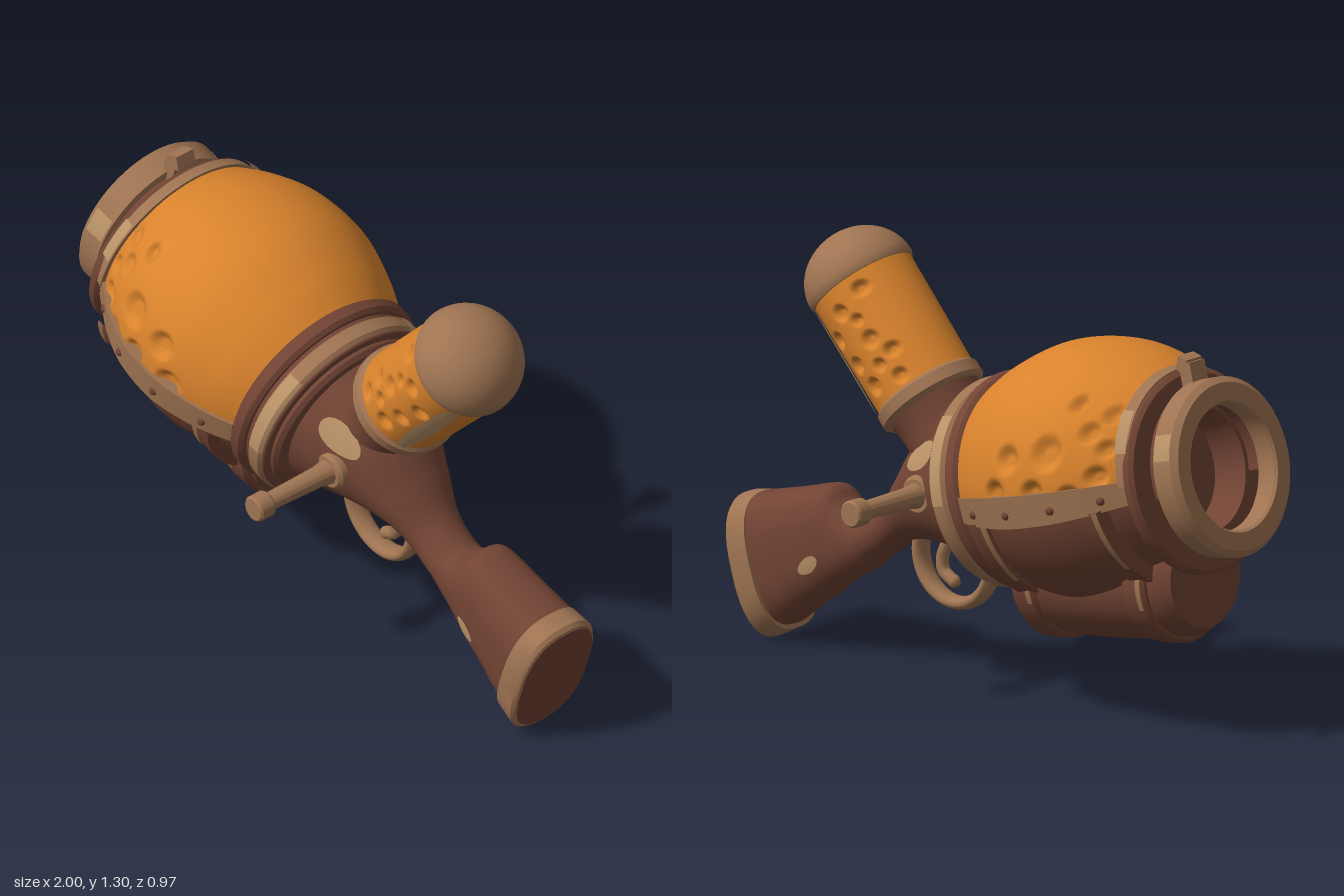
import * as THREE from 'three';
import { mergeVertices, toCreasedNormals } from 'three/addons/utils/BufferGeometryUtils.js';

const V3 = THREE.Vector3, PI = Math.PI;
const mat = (name, color, side = THREE.FrontSide) => {
  const m = new THREE.MeshStandardMaterial({ color, side });
  m.name = name;
  return m;
};

export function createModel() {
  const root = new THREE.Group();
  root.name = 'barrelGun';
  const brown = mat('brown wood', 0x724434);
  const tan = mat('tan metal', 0x9f7452);
  const light = mat('worn light tan', 0xb99267, THREE.DoubleSide);
  const amber = mat('amber', 0xd8822c);

  const add = (parent, name, geo, m) => {
    const mesh = new THREE.Mesh(geo, m);
    mesh.name = name;
    parent.add(mesh);
    return mesh;
  };
  const frame = (name, x, y, tilt, parent = root) => {
    const g = new THREE.Group();
    g.name = name;
    g.position.set(x, y, 0);
    g.rotation.z = tilt;
    parent.add(g);
    g.updateMatrixWorld();
    return g;
  };
  // Profiles are [radius, height] pairs running upwards on the outside
  const lathe = (pts, seg = 64, from = 0, len = 2 * PI) => toCreasedNormals(
    new THREE.LatheGeometry(pts.map(p => new THREE.Vector2(...p)), seg, from, len), 0.6);
  const ring = (r0, r1, y0, y1, b = 0.012) => lathe([[r0, y0], [r1 - b, y0], [r1, y0 + b],
    [r1, y1 - b], [r1 - b, y1], [r0, y1], [r0, y0]]);
  const smooth = (pts, n) => new THREE.SplineCurve(pts.map(p => new THREE.Vector2(...p)))
    .getPoints(n).map(p => [p.x, p.y]);

  // Skin a list of closed loops
  const loft = (loops, caps = true, crease = 0.7) => {
    const pos = [], n = loops[0].length, last = loops.length - 1;
    const tri = (...c) => c.forEach(p => pos.push(p.x, p.y, p.z));
    const mid = l => l.reduce((s, p) => s.add(p), new V3()).divideScalar(n);
    const c0 = mid(loops[0]), c1 = mid(loops[last]);
    for (let j = 0; j < n; j++) {
      const k = (j + 1) % n;
      for (let i = 0; i < last; i++) {
        const a = loops[i], b = loops[i + 1];
        tri(a[j], a[k], b[j]);
        tri(a[k], b[k], b[j]);
      }
      if (caps) {
        tri(c0, loops[0][k], loops[0][j]);
        tri(c1, loops[last][j], loops[last][k]);
      }
    }
    const g = new THREE.BufferGeometry();
    g.setAttribute('position', new THREE.Float32BufferAttribute(pos, 3));
    return toCreasedNormals(g, crease);
  };

  // Amber skin with bubbles pressed in, given as front-plane [x, y, radius]
  const bubbled = (group, profile, seg, len, bubbles, depth) => {
    let g = new THREE.LatheGeometry(profile.map(p => new THREE.Vector2(...p)), seg, 0, len);
    const p = g.attributes.position;
    const local = bubbles.map(([x, y, r]) => [group.worldToLocal(new V3(x, y, 0)), r]);
    for (let i = 0; i < p.count; i++) {
      let f = 0;
      for (const [c, r] of local) {
        const d = Math.hypot(p.getX(i) - c.x, p.getY(i) - c.y) / r;
        f = Math.max(f, Math.min(1, 2 * (1 - d)));
      }
      p.setX(i, p.getX(i) * (1 - depth * f));
      p.setZ(i, p.getZ(i) * (1 - depth * f));
    }
    g.deleteAttribute('uv');
    g.deleteAttribute('normal');
    g = mergeVertices(g);
    g.computeVertexNormals();
    return g;
  };

  // Main barrel: local y points to the muzzle, local x up
  const barrel = frame('barrel', -0.42, 0.73, 76 * PI / 180);
  barrel.scale.z = 1.02;
  const skin = smooth([[0.307, -0.3], [0.358, -0.19], [0.398, -0.03], [0.387, 0.137], [0.337, 0.269], [0.27, 0.375]], 80);
  const radiusAt = y => skin.reduce((a, b) => Math.abs(b[1] - y) < Math.abs(a[1] - y) ? b : a)[0];
  add(barrel, 'amberShell', bubbled(barrel, skin, 130, PI, [
    [-0.53, 0.88, 0.055], [-0.69, 0.83, 0.035], [-0.62, 0.76, 0.04], [-0.5, 0.76, 0.04],
    [-0.39, 0.84, 0.045], [-0.35, 0.73, 0.045], [-0.64, 0.95, 0.032], [-0.57, 1.02, 0.025],
    [-0.68, 1.0, 0.028], [-0.7, 0.91, 0.028]], 0.06), amber);
  add(barrel, 'lowerShell', lathe(skin.filter((p, i) => i % 4 === 0).map(([r, y]) => [r - 0.015, y]), 48, PI, PI), brown);
  add(barrel, 'frontRim', ring(0.2, 0.303, 0.36, 0.405), brown).position.x = -0.022;
  add(barrel, 'amberFrame', lathe([[0.288, 0.345], [0.306, 0.348], [0.296, 0.385], [0.27, 0.385]], 48, 0, PI), tan)
    .position.x = -0.008;
  add(barrel, 'rearRim', ring(0.1, 0.325, -0.34, -0.285), brown);
  add(barrel, 'rearCollar', ring(0.1, 0.312, -0.415, -0.35), tan);
  add(barrel, 'rearCore', ring(0.02, 0.302, -0.421, -0.3, 0.004), brown);
  add(barrel, 'receiverStep', ring(0.02, 0.277, -0.445, -0.41), brown);

  // Muzzle ring standing off the barrel, held by a half neck above
  const muzzle = frame('muzzle', -0.016, 0, 0, barrel);
  muzzle.scale.z = 0.92;
  add(muzzle, 'muzzleNeck', lathe([[0.2, 0.395], [0.24, 0.395], [0.235, 0.45], [0.2, 0.45], [0.2, 0.395]],
    40, -0.2, PI + 0.4), brown);
  add(muzzle, 'muzzleRing', lathe([[0.195, 0.45], [0.25, 0.435], [0.264, 0.44], [0.268, 0.512], [0.25, 0.53],
    [0.195, 0.53], [0.188, 0.52], [0.188, 0.46], [0.195, 0.45]]), tan);
  add(muzzle, 'bore', lathe([[0.215, 0.407], [0.185, 0.407], [0.165, 0.3], [0, 0.3]]), brown);
  add(muzzle, 'sight', new THREE.BoxGeometry(0.1, 0.045, 0.07), tan).position.set(0.272, 0.435, 0);
  const lip = add(muzzle, 'sightLip', new THREE.BoxGeometry(0.045, 0.035, 0.07), tan);
  lip.position.set(0.318, 0.422, 0);
  lip.rotation.z = 0.5;

  for (const s of [1, -1]) {
    const phi = a => s > 0 ? -a : PI + a;
    const arc = (a0, a1) => [Math.min(phi(a0), phi(a1)), Math.abs(a1 - a0)];
    // Side band with rivets
    const [p0, len] = arc(-0.02, 0.22);
    const loops = Array.from({ length: 17 }, (_, i) => {
      const y = -0.29 + i * 0.042, r = radiusAt(y);
      const at = (q, ph) => new V3(q * Math.sin(ph), y, q * Math.cos(ph));
      return [at(r - 0.03, p0), at(r + 0.011, p0), at(r + 0.011, p0 + len), at(r - 0.03, p0 + len)];
    });
    add(barrel, 'sideBand', loft(loops), tan);
    for (const y of [-0.2, -0.03, 0.14, 0.29]) {
      const r = radiusAt(y) + 0.004, a = phi(0.12);
      add(barrel, 'rivet', new THREE.SphereGeometry(0.014, 12, 8), brown)
        .position.set(r * Math.sin(a), y, r * Math.cos(a));
    }
    // Straps running down from the band, with worn edges
    for (const y of [-0.2, 0.25]) {
      const r = radiusAt(y);
      add(barrel, 'strap', lathe([[r - 0.04, y - 0.04], [r + 0.008, y - 0.035], [r + 0.008, y + 0.035],
        [r - 0.04, y + 0.04]], 16, ...arc(0.2, 1.1)), brown);
      add(barrel, 'strapEdge', lathe([[r + 0.011, y + 0.014], [r + 0.011, y + 0.036]], 16, ...arc(0.2, 0.8)), tan);
    }
    // Worn patches on the rings
    add(muzzle, 'wornPatch', lathe([[0.267, 0.445], [0.27, 0.51]], 12, ...arc(-0.55, -0.25)), light);
    add(barrel, 'wornPatch', lathe([[0.305, -0.412], [0.314, -0.403], [0.314, -0.362]], 16, ...arc(-0.85, 0.05)), light);
    add(barrel, 'wornPatch', lathe([[0.309, 0.35], [0.299, 0.385]], 12, ...arc(-0.75, -0.3)), light);
  }

  // Small keg slung underneath
  const keg = frame('underKeg', -0.51, 0.445, 83 * PI / 180);
  add(keg, 'kegBody', lathe([[0, -0.32], [0.15, -0.32], [0.18, -0.3], ...smooth([[0.19, -0.26], [0.195, -0.1],
    [0.192, 0.1], [0.175, 0.27]], 12), [0.15, 0.315], [0, 0.325]], 48), brown);
  for (const [y, r] of [[-0.24, 0.206], [0.2, 0.197]]) {
    add(keg, 'kegStrap', ring(0.15, r, y - 0.045, y + 0.045, 0.01), brown);
    for (const a of [-0.35, PI - 0.35])
      add(keg, 'kegStrapEdge', lathe([[r + 0.002, y + 0.016], [r + 0.002, y + 0.034]], 12, a, 0.7), tan);
  }

  // Receiver and stock: top x, top y, bottom x, bottom y, half width, squareness
  const rows = [
    [0.02, 0.88, -0.08, 0.4, 0.25, 2], [0.12, 0.83, 0.05, 0.4, 0.21, 2], [0.26, 0.73, 0.17, 0.41, 0.165, 2],
    [0.35, 0.6, 0.29, 0.4, 0.12, 2], [0.43, 0.495, 0.36, 0.365, 0.09, 2], [0.53, 0.438, 0.45, 0.305, 0.085, 2],
    [0.595, 0.468, 0.55, 0.235, 0.096, 2.3], [0.64, 0.5, 0.65, 0.16, 0.108, 2.6],
    [0.8, 0.46, 0.76, 0.08, 0.118, 2.8], [0.94, 0.425, 0.82, 0.035, 0.126, 2.8]];
  const section = (r, a, k = 1) => {
    const pw = v => Math.sign(v) * Math.abs(v) ** (2 / r[5]);
    const c = pw(Math.cos(a)) * k / 2;
    return new V3((r[0] + r[2]) / 2 + (r[0] - r[2]) * c, (r[1] + r[3]) / 2 + (r[1] - r[3]) * c,
      r[4] * k * pw(Math.sin(a)));
  };
  const curves = [0, 3].map(o => new THREE.CatmullRomCurve3(rows.map(r => new V3(r[o], r[o + 1], r[o + 2]))));
  const rowAt = t => curves.flatMap(c => c.getPoint(t).toArray());
  const loop = (r, k) => Array.from({ length: 48 }, (_, j) => section(r, j / 48 * 2 * PI, k));
  const stock = frame('stock', 0, 0, 0);
  add(stock, 'receiverAndStock', loft(Array.from({ length: 55 }, (_, i) => loop(rowAt(i / 54)))), brown);
  const pad = [[0.925, 0.43, 0.8, 0.035, 0.137, 2.6], [0.988, 0.418, 0.866, 0, 0.142, 2.6],
    [0.998, 0.405, 0.878, 0.008, 0.134, 2.6]];
  add(stock, 'buttPad', loft(pad.map(r => loop(r))), tan);
  const plate = [0, 0.005].map(d => loop([0.997 + d, 0.405, 0.877 + d, 0.008, 0.134, 2.6], 0.96));
  add(stock, 'buttPlate', loft(plate), brown);
  // Worn patches following the surface: position along, angle, sizes
  for (const [t, a, rt, ra] of [[0.155, 1.0, 0.055, 0.22], [0.785, 1.8, 0.035, 0.14]])
    for (const s of [1, -1])
      add(stock, 'wornPatch', loft([0.01, 0.25, 0.5, 0.75, 1].map(k => Array.from({ length: 20 }, (_, j) => {
        const b = j / 10 * PI;
        return section(rowAt(t + rt * k * Math.cos(b)), s * (a + ra * k * Math.sin(b)), 1.03);
      })), false), light);

  // Trigger and guard
  const guard = add(stock, 'triggerGuard', new THREE.TorusGeometry(0.142, 0.02, 12, 48), tan);
  guard.position.set(0.165, 0.37, 0);
  guard.scale.z = 1.7;
  const path = new THREE.CatmullRomCurve3([[0.19, 0.42], [0.22, 0.36], [0.215, 0.315], [0.175, 0.29]]
    .map(p => new V3(...p, 0)));
  add(stock, 'trigger', new THREE.TubeGeometry(path, 16, 0.02, 10), tan);
  add(stock, 'triggerTip', new THREE.SphereGeometry(0.02, 12, 8), tan).position.set(0.175, 0.29, 0);

  // Side handles
  for (const s of [1, -1]) {
    const handle = frame('sideHandle', 0.145, 0.595, 0);
    handle.rotation.x = s * PI / 2;
    add(handle, 'flange', lathe([[0, 0.14], [0.06, 0.14], [0.06, 0.19], [0.05, 0.202], [0, 0.202]], 32), tan);
    add(handle, 'rod', lathe([[0.04, 0.19], [0.032, 0.24], [0.027, 0.44]], 32), tan);
    add(handle, 'knob', lathe([[0, 0.43], [0.036, 0.43], [0.041, 0.436], [0.041, 0.48], [0.035, 0.487],
      [0, 0.487]], 32), tan);
  }

  // Tilted canister on top
  const can = frame('canister', 0.272, 0.842, -0.74);
  add(can, 'canisterNeck', lathe(smooth([[0.145, -0.2], [0.138, -0.1], [0.15, -0.02]], 10)), brown);
  add(can, 'canisterCollar', ring(0.1, 0.168, -0.035, 0.025), tan);
  const wall = Array.from({ length: 61 }, (_, i) => [0.158 + 0.004 * i / 60, 0.01 + 0.39 * i / 60]);
  add(can, 'canisterAmber', bubbled(can, wall, 150, 2 * PI, [
    [0.26, 0.93, 0.025], [0.3, 1.0, 0.025], [0.37, 1.02, 0.03], [0.42, 0.93, 0.028], [0.48, 1.08, 0.028],
    [0.5, 0.99, 0.028], [0.35, 0.88, 0.03], [0.43, 1.16, 0.026], [0.33, 0.95, 0.022], [0.42, 1.07, 0.02]], 0.11), amber);
  // Worn strips, wider in the middle
  for (const s of [1, -1])
    add(can, 'canisterStrip', loft([0.03, 0.08, 0.16, 0.25, 0.32, 0.38].map((y, i) => {
      const half = [0.1, 0.16, 0.19, 0.18, 0.16, 0.12][i];
      return [-1, -0.5, 0, 0.5, 1].map(q => {
        const a = PI / 2 + s * 0.78 + half * q;
        return new V3(0.166 * Math.sin(a), y, 0.166 * Math.cos(a));
      });
    }), false), light);
  const dome = Array.from({ length: 17 }, (_, i) => [0.172 * Math.cos(i / 32 * PI), 0.405 + 0.153 * Math.sin(i / 32 * PI)]);
  add(can, 'canisterCap', lathe([[0.14, 0.388], [0.167, 0.391], ...dome], 48), tan);
  return root;
}
